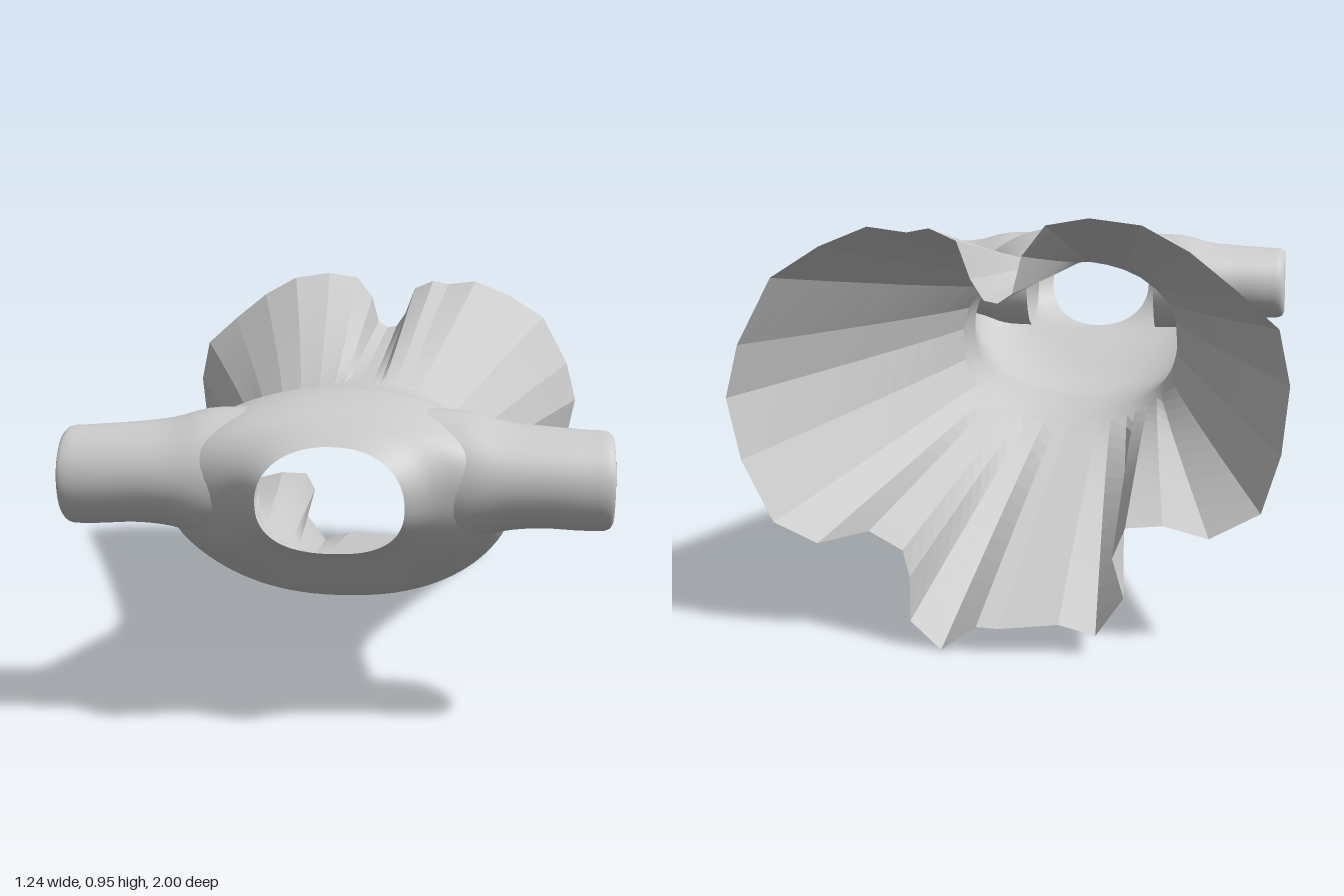
import * as THREE from 'three';

const material = new THREE.MeshStandardMaterial({ color: 0xcccccc, side: THREE.DoubleSide });
const foldMaterial = material.clone();
foldMaterial.flatShading = true;

// Open surface through closed rings of points; faces for which skip(centre) is true are left out
function loft(name, rings, mat, skip = () => false) {
  const n = rings[0].length;
  const index = [];
  for (let i = 0; i < rings.length - 1; i++) {
    for (let j = 0; j < n; j++) {
      const k = (j + 1) % n;
      const corners = [rings[i][j], rings[i][k], rings[i + 1][k], rings[i + 1][j]];
      const centre = new THREE.Vector3();
      corners.forEach((p) => centre.addScaledVector(p, 0.25));
      if (skip(centre)) continue;
      const a = i * n + j, b = i * n + k, c = b + n, d = a + n;
      index.push(a, b, c, a, c, d);
    }
  }
  const geometry = new THREE.BufferGeometry().setFromPoints(rings.flat());
  geometry.setIndex(index);
  geometry.computeVertexNormals();
  const mesh = new THREE.Mesh(geometry, mat);
  mesh.name = name;
  return mesh;
}

// Smooth the surface lengthwise by running a curve down each column of points
function smoothRings(rings, steps) {
  const columns = rings[0].map((_, j) =>
    new THREE.CatmullRomCurve3(rings.map((r) => r[j])).getPoints(steps));
  return columns[0].map((_, i) => columns.map((c) => c[i]));
}

const soften = (v, e) => Math.sign(v) * Math.abs(v) ** e;

// Point on a rounded body section that may lean (z differs from bottom to top)
function sectionPoint([zBottom, zTop, halfWidth, yBottom, yTop, bulge], angle) {
  const c = soften(Math.cos(angle), 0.88), s = soften(Math.sin(angle), 0.88);
  return new THREE.Vector3(
    halfWidth * c,
    (yBottom + yTop) / 2 + ((yTop - yBottom) / 2) * s,
    zBottom + (zTop - zBottom) * (s + 1) / 2 + bulge * c * c);
}

const waist = [0.19, 0.19, 0.31, 0.255, 0.725, 0];

// Bodice: waist to neckline
function makeBodice() {
  const sections = [
    waist,
    [0.32, 0.32, 0.302, 0.26, 0.728, 0],
    [0.46, 0.46, 0.33, 0.263, 0.752, 0],
    [0.59, 0.6, 0.36, 0.264, 0.768, 0],
    [0.68, 0.71, 0.385, 0.292, 0.775, 0],
    [0.75, 0.81, 0.39, 0.34, 0.765, 0.02],
    [0.81, 0.89, 0.35, 0.385, 0.742, 0.05],
    [0.86, 0.94, 0.22, 0.42, 0.712, 0.05],
    [0.885, 0.975, 0.16, 0.432, 0.685, 0.06],
  ];
  const rings = sections.map((s) =>
    Array.from({ length: 72 }, (_, j) => sectionPoint(s, (j / 72) * Math.PI * 2)));
  const armhole = (p) => Math.abs(p.x) > 0.28 && Math.hypot(p.y - 0.6, p.z - 0.82) < 0.1;
  return loft('bodice', smoothRings(rings, 48), material, armhole);
}

// Sleeve: short open tube with the cuff turned inward
function makeSleeve(side) {
  const sections = [ // x, y, radius y, z, radius z
    [0.2, 0.595, 0.15, 0.795, 0.135],
    [0.29, 0.595, 0.145, 0.797, 0.143],
    [0.37, 0.597, 0.122, 0.8, 0.139],
    [0.45, 0.597, 0.113, 0.808, 0.128],
    [0.55, 0.592, 0.111, 0.815, 0.117],
    [0.598, 0.592, 0.107, 0.82, 0.107],
    [0.607, 0.595, 0.09, 0.832, 0.09],
    [0.57, 0.595, 0.084, 0.835, 0.084],
  ];
  const rings = sections.map(([x, y, ry, z, rz]) =>
    Array.from({ length: 40 }, (_, j) => {
      const a = (j / 40) * Math.PI * 2;
      return new THREE.Vector3(side * x, y + ry * Math.cos(a), z + rz * Math.sin(a));
    }));
  if (side < 0) rings.reverse();
  return loft(side > 0 ? 'leftSleeve' : 'rightSleeve', smoothRings(rings, 28), material);
}

// Skirt: pleats grow from the plain waist to the wavy hem
function makeSkirt() {
  const hem = [
    [0.62, 0.54], [0.59, 0.66], [0.51, 0.81], [0.40, 0.88], [0.29, 0.925], [0.20, 0.915],
    [0.15, 0.925], [0.09, 0.90], [0.06, 0.82], [0.03, 0.775], [0, 0.77], [-0.03, 0.79],
    [-0.05, 0.87], [-0.10, 0.935], [-0.19, 0.95], [-0.30, 0.935], [-0.40, 0.88], [-0.50, 0.80],
    [-0.59, 0.72], [-0.615, 0.60], [-0.60, 0.45], [-0.56, 0.32], [-0.45, 0.26], [-0.35, 0.285],
    [-0.27, 0.28], [-0.245, 0.22], [-0.27, 0.13], [-0.21, 0.045], [-0.13, 0.07], [0, 0.06],
    [0.05, 0.06], [0.13, 0], [0.20, 0.06], [0.20, 0.16], [0.215, 0.22], [0.30, 0.25],
    [0.42, 0.215], [0.52, 0.26], [0.59, 0.40],
  ];
  const rows = 12;
  const rings = [];
  for (let i = rows; i >= 0; i--) {
    const t = i / rows;
    rings.push(hem.map(([x, y]) => {
      const top = sectionPoint(waist, Math.atan2((y - 0.49) / 0.46, x / 0.61));
      const lobe = y < 0.23 && Math.abs(x) < 0.3 ? 0.025 : 0;
      const z = -0.93 - 0.045 * Math.max(0, 1 - Math.abs(x) / 0.35) - lobe;
      const spread = t ** 1.08;
      return new THREE.Vector3(
        THREE.MathUtils.lerp(top.x, x, spread),
        THREE.MathUtils.lerp(top.y, y, spread),
        THREE.MathUtils.lerp(top.z, z, t));
    }));
  }
  return loft('skirt', rings, foldMaterial);
}

export function createModel() {
  const dress = new THREE.Group();
  dress.name = 'dress';
  dress.add(makeBodice(), makeSleeve(1), makeSleeve(-1), makeSkirt());
  return dress;
}
